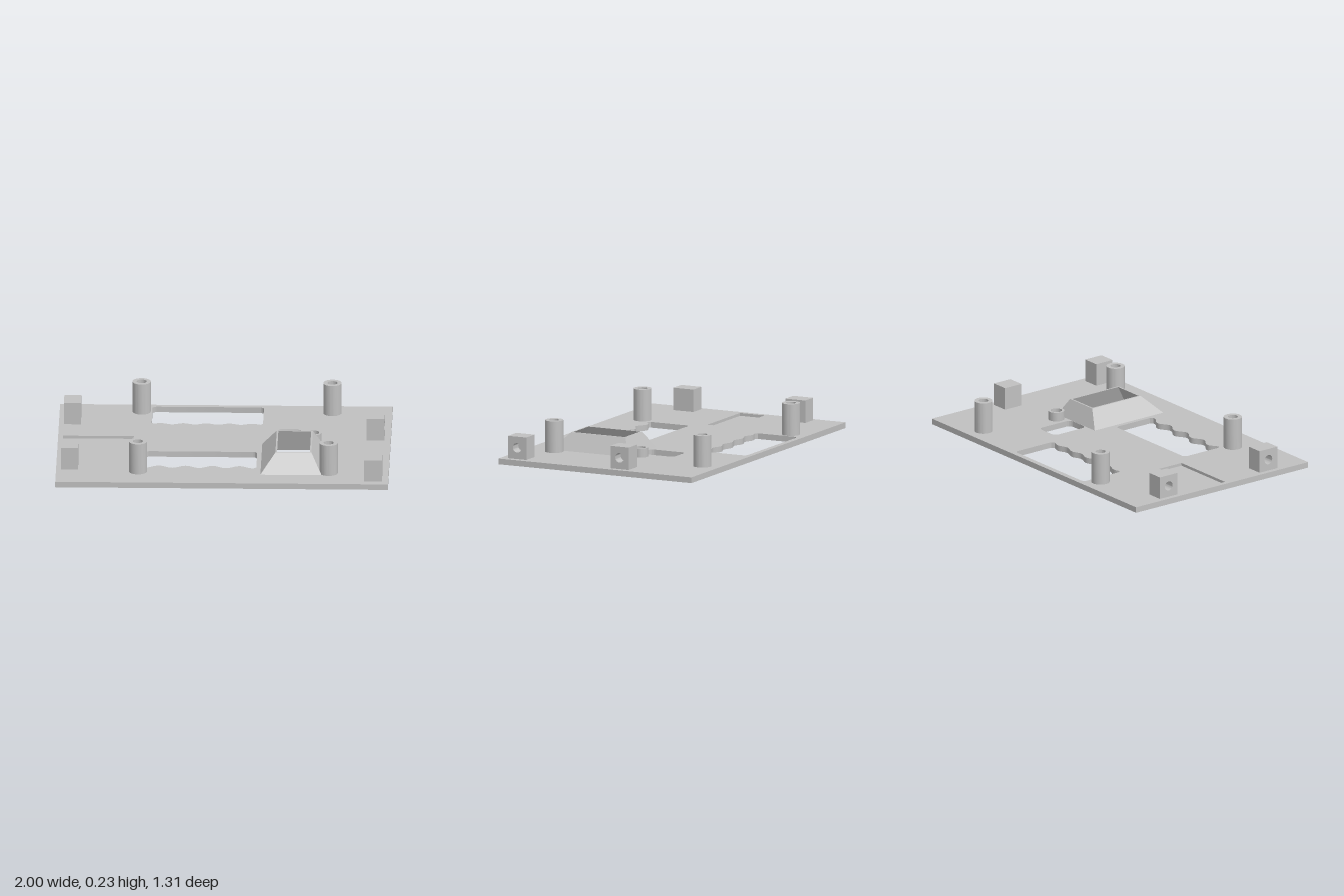
import * as THREE from 'three';
import { toCreasedNormals } from 'three/addons/utils/BufferGeometryUtils.js';

const PLATE_TOP = 0.035;
const RECESS_FLOOR = 0.018;

// Rectangle with optional rounded corners, in x and z
function rect(x0, x1, z0, z1, r = 0) {
  const s = new THREE.Shape();
  if (!r) {
    s.moveTo(x0, z0).lineTo(x1, z0).lineTo(x1, z1).lineTo(x0, z1);
  } else {
    s.absarc(x1 - r, z0 + r, r, -Math.PI / 2, 0);
    s.absarc(x1 - r, z1 - r, r, 0, Math.PI / 2);
    s.absarc(x0 + r, z1 - r, r, Math.PI / 2, Math.PI);
    s.absarc(x0 + r, z0 + r, r, Math.PI, Math.PI * 1.5);
  }
  s.closePath();
  return s;
}

function circle(x, z, r) {
  return new THREE.Shape().absarc(x, z, r, 0, Math.PI * 2);
}

// Rounded window whose +z edge is a row of waves
function wavyWindow(x0, x1, z0, z1, amp, crest, period) {
  const r = 0.025;
  const wave = (x) => z1 - amp * (0.5 + 0.5 * Math.cos((2 * Math.PI * (x - crest)) / period));
  const s = new THREE.Shape();
  s.absarc(x1 - r, z0 + r, r, -Math.PI / 2, 0);
  s.lineTo(x1, wave(x1 - 0.015) - 0.015);
  const n = 64;
  for (let i = 0; i <= n; i++) {
    const x = x1 - 0.015 - ((x1 - x0 - 0.03) * i) / n;
    s.lineTo(x, wave(x));
  }
  s.lineTo(x0, wave(x0 + 0.015) - 0.015);
  s.absarc(x0 + r, z0 + r, r, Math.PI, Math.PI * 1.5);
  s.closePath();
  return s;
}

// Upright prism of a plan shape between two heights
function prism(shape, holes, y0, y1) {
  shape.holes.push(...holes);
  const g = new THREE.ExtrudeGeometry(shape, { depth: y1 - y0, bevelEnabled: false, curveSegments: 20 });
  g.rotateX(Math.PI / 2).translate(0, y1, 0);
  return toCreasedNormals(g, 0.6);
}

// Thin-walled open hood, lofted through four rectangular rings
function hoodGeometry() {
  const t = 0.01;
  const rings = [ // x0, x1, z0, z1, y
    [0.23, 0.597, -0.013, 0.508, PLATE_TOP],
    [0.318, 0.535, 0.037, 0.405, 0.14],
    [0.318 + t, 0.535 - t, 0.037 + t, 0.405 - t, 0.14],
    [0.23 + t, 0.597 - t, -0.013 + t, 0.508 - t, 0],
  ].map(([x0, x1, z0, z1, y]) => [[x0, y, z1], [x1, y, z1], [x1, y, z0], [x0, y, z0]]);
  const pos = [];
  for (let k = 0; k < 3; k++) {
    for (let i = 0; i < 4; i++) {
      const j = (i + 1) % 4;
      const [a, b, c, d] = [rings[k][i], rings[k][j], rings[k + 1][j], rings[k + 1][i]];
      pos.push(...a, ...b, ...c, ...a, ...c, ...d);
    }
  }
  const g = new THREE.BufferGeometry();
  g.setAttribute('position', new THREE.Float32BufferAttribute(pos, 3));
  g.computeVertexNormals();
  return g;
}

export function createModel() {
  const model = new THREE.Group();
  const grey = new THREE.MeshStandardMaterial({ color: 0xc0c0c0 });
  grey.name = 'plain grey';

  const add = (name, geometry, parent = model) => {
    const mesh = new THREE.Mesh(geometry, grey);
    mesh.name = name;
    parent.add(mesh);
    return mesh;
  };

  // Plate in two layers; the upper one is cut away over the shallow recess
  const openings = () => [
    wavyWindow(-0.443, 0.227, -0.622, -0.328, 0.02, 0.025, 0.138),
    wavyWindow(-0.468, 0.203, 0.127, 0.403, 0.036, -0.06, 0.162),
    rect(0.31, 0.467, -0.255, -0.015, 0.035),
    rect(0.24, 0.587, -0.003, 0.498),
    circle(0.537, -0.066, 0.034),
  ];
  const outline = () => rect(-1, 1, -0.655, 0.655);
  add('plateBase', prism(outline(), openings(), 0, RECESS_FLOOR));
  add('plateTop', prism(outline(), [...openings(), rect(-0.97, -0.545, -0.123, 0.045)], RECESS_FLOOR, PLATE_TOP));

  // Hood around the large opening
  add('hood', hoodGeometry());

  // Short collar around the through hole
  add('collar', prism(circle(0.537, -0.066, 0.048), [circle(0.537, -0.066, 0.034)], PLATE_TOP, 0.09));

  // Four hollow mounting posts
  for (const x of [-0.507, 0.64]) {
    for (const z of [-0.542, 0.465]) {
      add('mountingPost', prism(circle(x, z, 0.055), [circle(x, z, 0.03)], PLATE_TOP, 0.228));
    }
  }

  // Edge blocks with a blind screw hole facing outward
  const height = 0.172 - PLATE_TOP;
  const holeDepth = 0.07;
  const blocks = [ // inner x, outer x, centre z, width
    [-0.868, -0.97, -0.383, 0.135],
    [-0.868, -0.97, 0.376, 0.135],
    [0.855, 0.963, -0.147, 0.124],
    [0.855, 0.963, 0.547, 0.124],
  ];
  for (const [inner, outer, z, width] of blocks) {
    const block = new THREE.Group();
    block.name = 'screwBlock';
    const back = Math.abs(outer - inner) - holeDepth;
    const w = width / 2, h = height / 2;

    const front = rect(-w, w, -h, h);
    front.holes.push(circle(0, 0, 0.029));
    const frontGeo = new THREE.ExtrudeGeometry(front, { depth: holeDepth, bevelEnabled: false, curveSegments: 20 });
    frontGeo.rotateY(Math.PI / 2).translate(back, 0, 0);
    add('blockFront', toCreasedNormals(frontGeo, 0.6), block);
    add('blockBack', new THREE.BoxGeometry(back, height, width).translate(back / 2, 0, 0), block);

    block.position.set(inner, PLATE_TOP + h, z);
    if (outer < 0) block.rotation.y = Math.PI;
    model.add(block);
  }

  return model;
}
